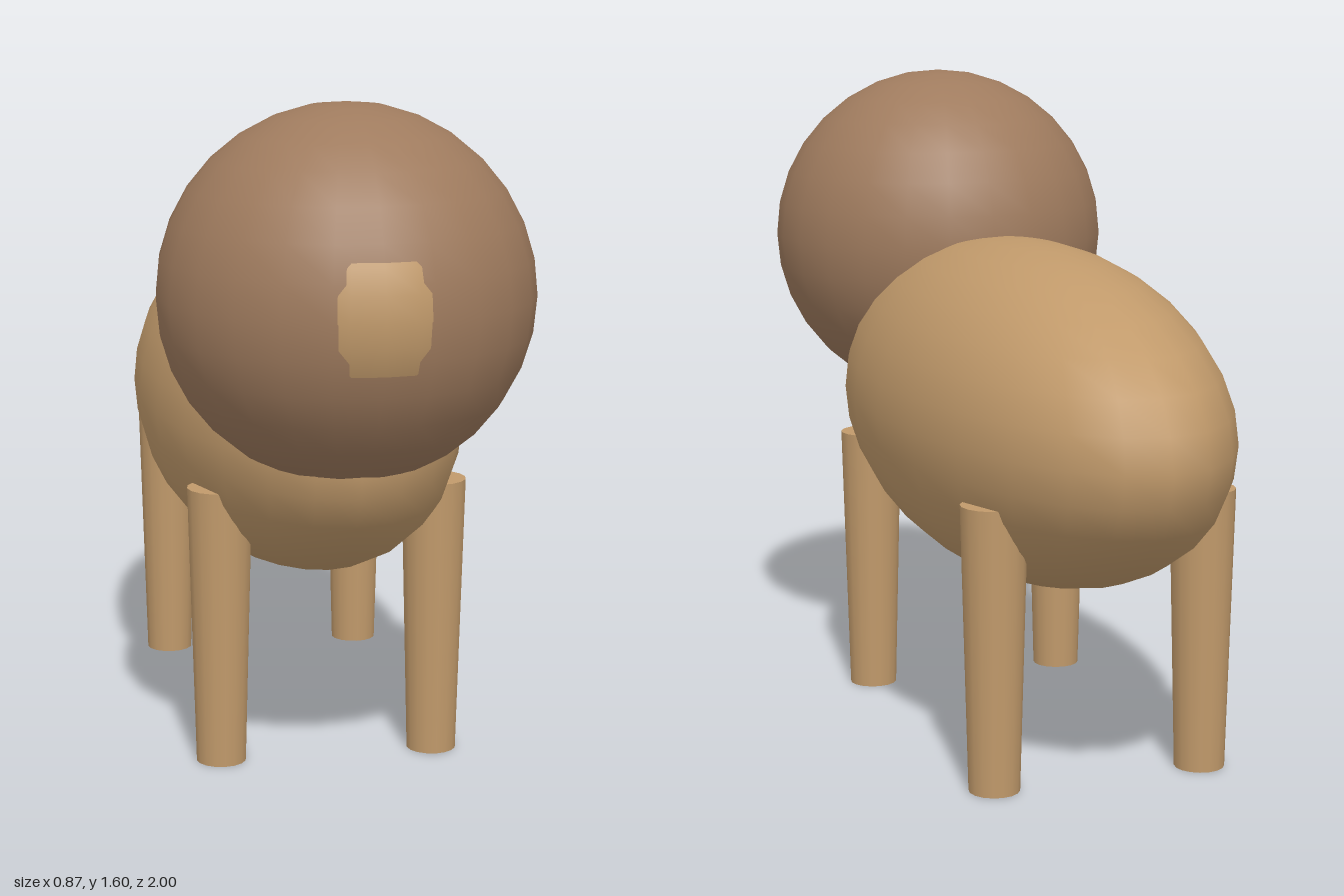
import * as THREE from 'three';

export function createModel() {
  const model = new THREE.Group();
  model.name = 'animal';

  const tan = new THREE.MeshStandardMaterial({ color: 0xc19a6b });
  tan.name = 'tan fur';
  const brown = new THREE.MeshStandardMaterial({ color: 0x9f7b5e });
  brown.name = 'brown mane';

  const add = (name, geometry, material, x, y, z) => {
    const mesh = new THREE.Mesh(geometry, material);
    mesh.name = name;
    mesh.position.set(x, y, z);
    model.add(mesh);
    return mesh;
  };

  // Long egg-shaped body
  const bodyGeometry = new THREE.SphereGeometry(1, 24, 16).scale(0.39, 0.411, 0.88);
  add('body', bodyGeometry, tan, 0, 0.806, -0.12);

  // Round mane with the smaller face just breaking through its front
  add('mane', new THREE.SphereGeometry(0.433, 24, 16), brown, 0, 1.167, 0.56);
  add('face', new THREE.SphereGeometry(0.3, 24, 16), tan, 0, 1.17, 0.7);

  // Four legs, tapering towards the feet
  const legHeight = 0.677;
  const legGeometry = new THREE.CylinderGeometry(0.078, 0.06, legHeight, 16);
  for (const [end, z] of [['front', 0.353], ['back', -0.586]]) {
    for (const [side, x] of [['Left', 0.26], ['Right', -0.26]]) {
      add(`${end}${side}Leg`, legGeometry, tan, x, legHeight / 2, z);
    }
  }

  return model;
}
